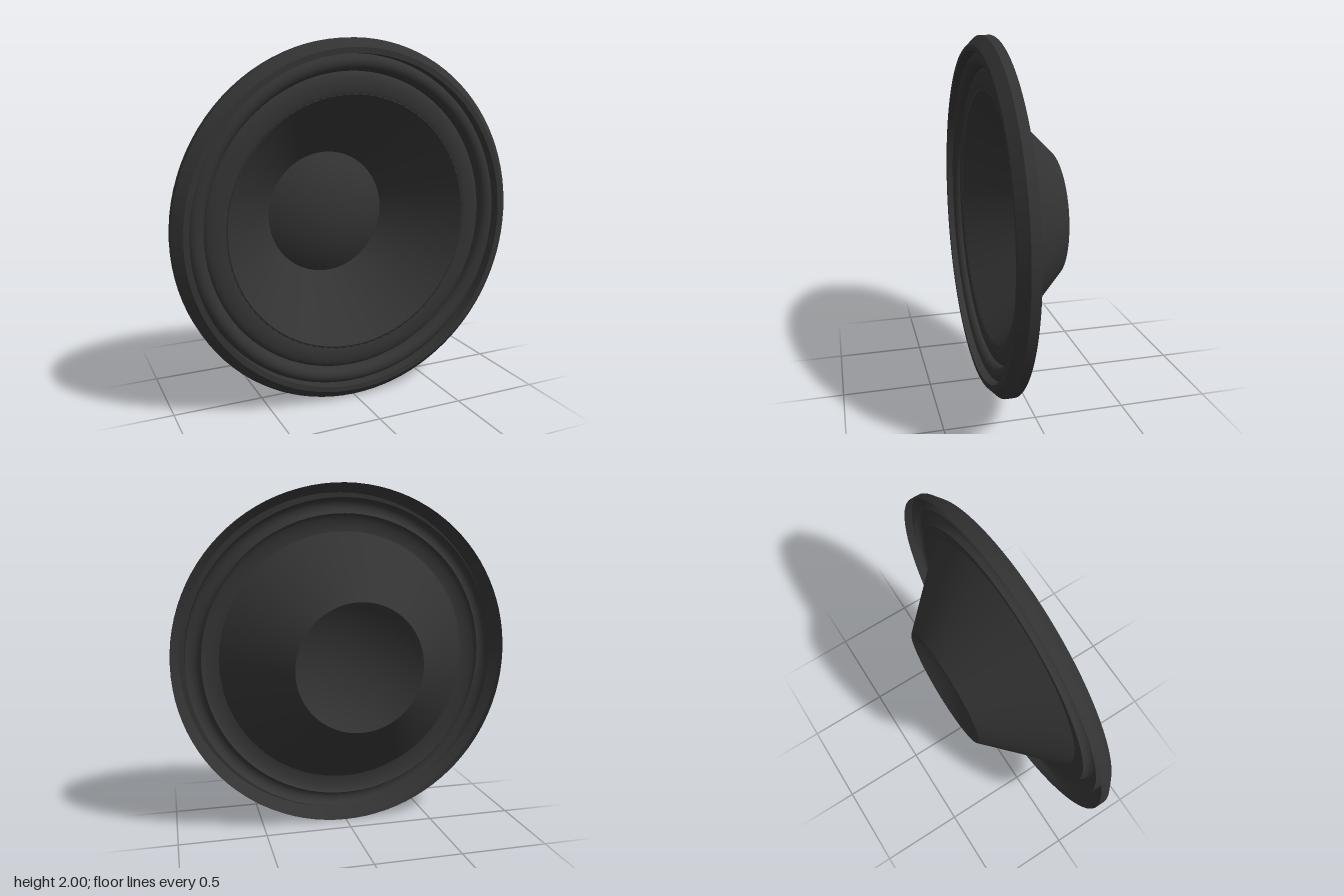
import * as THREE from 'three';

const SEGMENTS = 96;
const material = new THREE.MeshStandardMaterial({ color: 0x333333, side: THREE.DoubleSide });

// Thin surface of revolution about the z axis; points are [radius, z], outer to inner.
function revolve(name, points) {
  const geometry = new THREE.LatheGeometry(points.map(([r, z]) => new THREE.Vector2(r, z)), SEGMENTS);
  geometry.rotateX(Math.PI / 2);
  const mesh = new THREE.Mesh(geometry, material);
  mesh.name = name;
  return mesh;
}

// Points along an elliptical arc, angles in degrees.
function arc(r, z, radiusR, radiusZ, from, to, steps) {
  return Array.from({ length: steps + 1 }, (_, i) => {
    const a = THREE.MathUtils.degToRad(from + (to - from) * i / steps);
    return [Math.max(0, r + radiusR * Math.cos(a)), z + radiusZ * Math.sin(a)];
  });
}

export function createModel() {
  const speaker = new THREE.Group();
  speaker.name = 'speakerCone';

  // Mounting rim: side wall, chamfer, front lip and inner wall, each with sharp edges
  const rim = new THREE.Group();
  rim.name = 'rim';
  const rimProfile = [[1, 0.12], [1, 0.17], [0.95, 0.22], [0.92, 0.22], [0.92, 0.145]];
  const rimNames = ['rimSide', 'rimChamfer', 'rimLip', 'rimInnerWall'];
  rimNames.forEach((name, i) => rim.add(revolve(name, [rimProfile[i], rimProfile[i + 1]])));
  speaker.add(rim);

  // Flexible surround: half roll bulging to the front
  speaker.add(revolve('surroundRoll', [...arc(0.875, 0.145, 0.045, 0.045, 0, 180, 16), [0.83, 0.13]]));

  // Rounded shoulder between the surround and the cone
  speaker.add(revolve('coneShoulder', arc(0.755, 0.13, 0.075, 0.03, 0, 130, 12).concat([[0.73, 0.15]])));

  // Cone
  speaker.add(revolve('cone', [[0.73, 0.15], [0.36, -0.22]]));

  // Dust cap: shallow dome bulging to the front
  const capRadius = 0.36, capHeight = 0.11;
  const sphere = (capRadius ** 2 + capHeight ** 2) / (2 * capHeight);
  const edge = THREE.MathUtils.radToDeg(Math.acos(capRadius / sphere));
  speaker.add(revolve('dustCap', arc(0, -0.22 + capHeight - sphere, sphere, sphere, edge, 90, 12)));

  speaker.position.y = 1;
  const model = new THREE.Group();
  model.name = 'speaker';
  model.add(speaker);
  return model;
}
